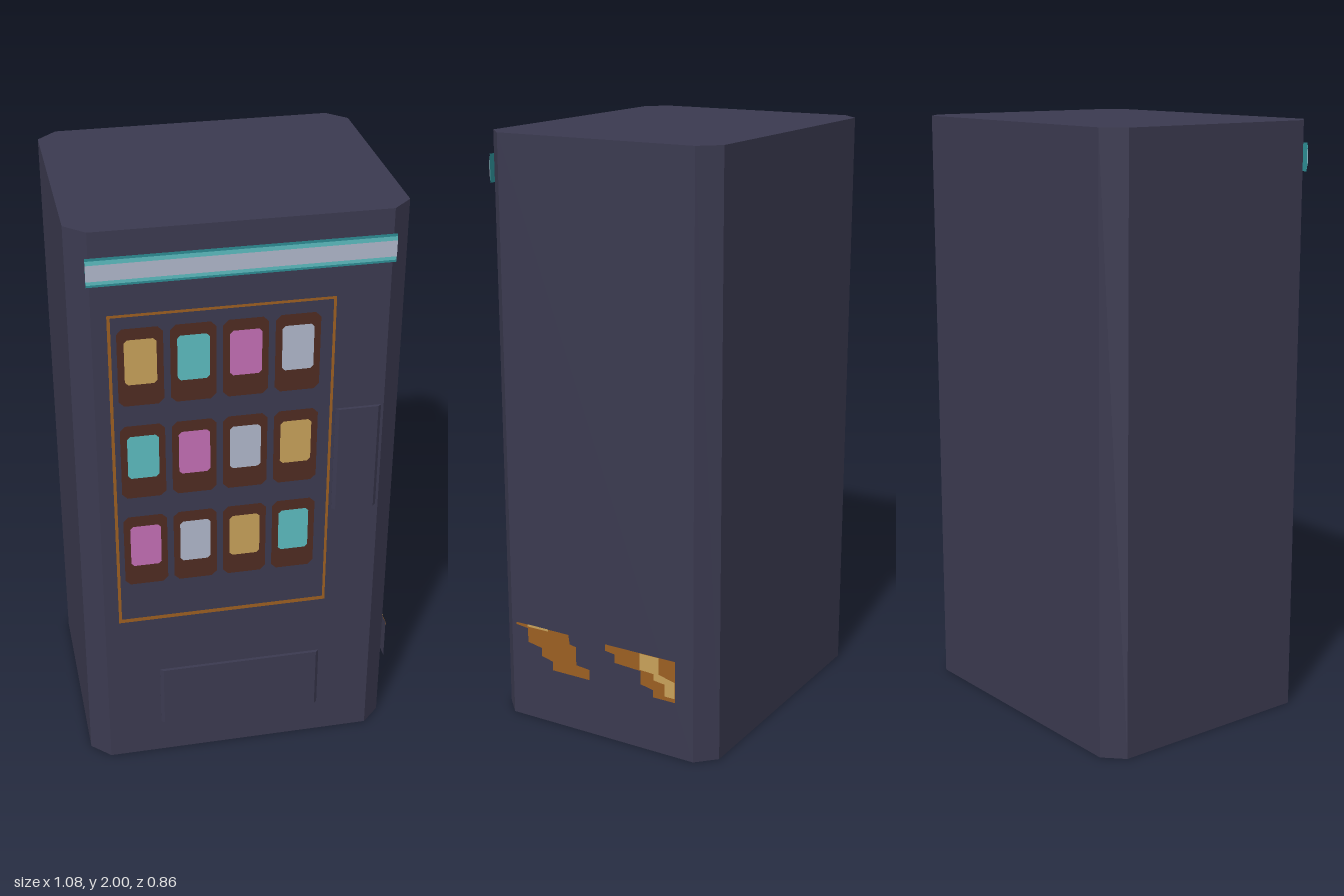
import * as THREE from 'three';

const mat = (name, color, side = THREE.FrontSide) => {
  const m = new THREE.MeshStandardMaterial({ color, side });
  m.name = name;
  return m;
};

export function createModel() {
  const group = new THREE.Group();
  const D = THREE.DoubleSide;
  const slate = mat('slate', 0x3b3a50);
  const slatePanel = mat('slatePanel', 0x3b3a50, D);
  const brown = mat('brown', 0x4f2b22, D);
  const orange = mat('orange', 0x9c5f22, D);
  const gold = mat('gold', 0xc8a25a, D);
  const cyan = mat('cyan', 0x5dbcc0, D);
  const teal = mat('teal', 0x2c8d94, D);
  const pink = mat('pink', 0xc46fb5, D);
  const pale = mat('pale', 0xb0b8cb, D);

  const add = (name, geometry, material, parent = group) => {
    const mesh = new THREE.Mesh(geometry, material);
    mesh.name = name;
    parent.add(mesh);
    return mesh;
  };
  const polygon = (pts) => new THREE.Shape(pts.map(([x, y]) => new THREE.Vector2(x, y)));

  // Vertical prism from a plan outline of [x, z] points
  const prism = (name, plan, y0, y1) => {
    const g = new THREE.ExtrudeGeometry(polygon(plan.map(([x, z]) => [x, -z])),
      { depth: y1 - y0, bevelEnabled: false });
    g.rotateX(-Math.PI / 2).translate(0, y0, 0);
    return add(name, g, slate);
  };

  // Flat front-facing rectangle with clipped corners
  const plate = (name, x0, x1, y0, y1, z, material, c = 0, parent = group) => {
    const pts = c ? [[x0 + c, y0], [x1 - c, y0], [x1, y0 + c], [x1, y1 - c],
      [x1 - c, y1], [x0 + c, y1], [x0, y1 - c], [x0, y0 + c]]
      : [[x0, y0], [x1, y0], [x1, y1], [x0, y1]];
    return add(name, new THREE.ShapeGeometry(polygon(pts)).translate(0, 0, z), material, parent);
  };

  // Cabinet with chamfered upright corners
  prism('cabinet', [
    [-0.476, 0.403], [0.447, 0.403], [0.51, 0.342], [0.51, -0.374],
    [0.447, -0.437], [-0.476, -0.437], [-0.54, -0.374], [-0.54, 0.342],
  ], 0, 2);

  // Raised panels with bevelled sides
  const raised = (name, x0, x1, y0, y1) => prism(name,
    [[x0, 0.4], [x1, 0.4], [x1, 0.404], [x1 - 0.011, 0.414], [x0 + 0.011, 0.414], [x0, 0.404]], y0, y1);
  raised('paymentPanel', 0.288, 0.438, 0.95, 1.33);
  raised('deliveryFlap', -0.295, 0.264, 0.128, 0.36);

  // Light strip under the top edge
  const strip = new THREE.Group();
  strip.name = 'lightStrip';
  group.add(strip);
  plate('stripEdge', -0.487, 0.455, 1.83, 1.923, 0.414, teal, 0, strip);
  plate('stripGlow', -0.487, 0.455, 1.838, 1.915, 0.416, cyan, 0, strip);
  plate('stripCore', -0.487, 0.455, 1.85, 1.902, 0.418, pale, 0, strip);

  // Display window and its thin border
  plate('window', -0.43, 0.275, 0.588, 1.733, 0.411, slatePanel);
  const border = polygon([[-0.43, 0.588], [0.275, 0.588], [0.275, 1.733], [-0.43, 1.733]]);
  border.holes.push(polygon([[-0.42, 0.602], [-0.42, 1.724], [0.266, 1.724], [0.266, 0.602]]));
  add('windowBorder', new THREE.ShapeGeometry(border).translate(0, 0, 0.414), orange);

  // Product slots, each row shifting the colours along
  const goods = [
    [gold, cyan, pink, pale],
    [cyan, pink, pale, gold],
    [pink, pale, gold, cyan],
  ];
  goods.forEach((row, r) => row.forEach((material, c) => {
    const x = -0.332 + c * 0.163;
    const y = 1.552 - r * 0.338;
    plate('slot', x - 0.071, x + 0.071, y - 0.133, y + 0.133, 0.414, brown, 0.017);
    plate('product', x - 0.05, x + 0.05, y - 0.058, y + 0.096, 0.417, material, 0.01);
  }));

  // Side plate with worn patches, drawn as [z, y] outlines facing +x
  const sidePatch = (name, pts, x, material) => {
    const g = new THREE.ShapeGeometry(polygon(pts.map(([z, y]) => [-z, y])));
    g.rotateY(Math.PI / 2).translate(x, 0, 0);
    add(name, g, material);
  };
  sidePatch('sidePlate', [[0.303, 0.213], [-0.323, 0.213], [-0.323, 0.36], [0.303, 0.36]], 0.537, slatePanel);
  sidePatch('rustFront', [
    [0.303, 0.358], [0.09, 0.358], [0.085, 0.325], [0.06, 0.32], [0.06, 0.255], [0.008, 0.25],
    [0.008, 0.213], [0.155, 0.213], [0.155, 0.245], [0.2, 0.255], [0.2, 0.285], [0.255, 0.295],
    [0.255, 0.345], [0.303, 0.35],
  ], 0.539, orange);
  sidePatch('rustBack', [
    [-0.055, 0.358], [-0.323, 0.358], [-0.323, 0.213], [-0.24, 0.213], [-0.24, 0.238],
    [-0.193, 0.248], [-0.193, 0.295], [-0.093, 0.3], [-0.093, 0.33], [-0.055, 0.335],
  ], 0.539, orange);
  sidePatch('wornFront', [[0.255, 0.36], [0.17, 0.36], [0.17, 0.352], [0.255, 0.352]], 0.541, gold);
  sidePatch('wornBack', [
    [-0.19, 0.358], [-0.262, 0.358], [-0.262, 0.3], [-0.323, 0.285], [-0.323, 0.228],
    [-0.285, 0.228], [-0.285, 0.27], [-0.243, 0.275], [-0.243, 0.297], [-0.19, 0.3],
  ], 0.541, gold);

  return group;
}
